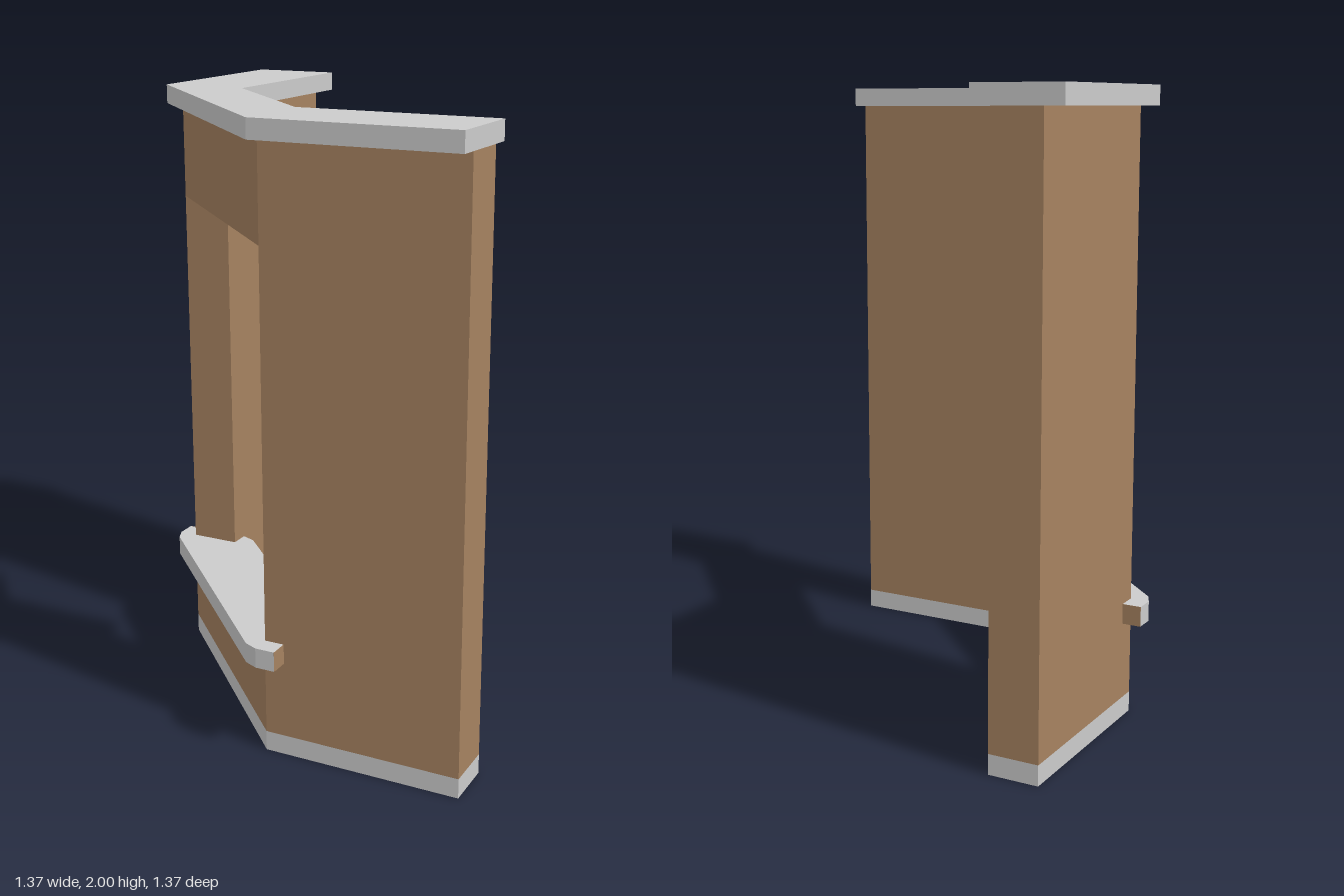
import * as THREE from 'three';

const grey = new THREE.MeshStandardMaterial({ color: 0xcccccc });
const wood = new THREE.MeshStandardMaterial({ color: 0xa68260 });

// The plan is symmetric about the diagonal: (x, z) <-> (-z, -x)
const mirror = (pts) => pts.map(([x, z]) => [-z, -x]).reverse();

// Upright prism over a floor outline of [x, z] points
function slab(name, outline, y0, y1, sides, caps = sides) {
  const shape = new THREE.Shape(outline.map(([x, z]) => new THREE.Vector2(x, z)));
  const geo = new THREE.ExtrudeGeometry(shape, { depth: y1 - y0, bevelEnabled: false });
  geo.rotateX(Math.PI / 2).translate(0, y1, 0);
  const mesh = new THREE.Mesh(geo, sides === caps ? sides : [caps, sides]);
  mesh.name = name;
  return mesh;
}

export function createModel() {
  const group = new THREE.Group();
  group.name = 'angledWallWithOpening';

  const K = 0.03;                  // where the straight walls meet the diagonal
  const END = 0.687;               // free end of each wall
  const OUT = 0.625, IN = 0.46;    // outer and inner wall faces
  const BASE = 0.065, SILL = 0.315, SILL_TOP = 0.38;
  const HEAD = 1.627, CAP = 1.938;

  // Bent strip running along both walls and the diagonal
  const strip = (outer, inner) => {
    const half = [[K, outer], [END, outer], [END, inner], [K, inner]];
    return [...half, ...mirror(half)];
  };
  const wall = [[K, OUT], [END, OUT], [END, IN], [K, IN]];
  const diagonal = [[K, OUT], [K, IN], [-IN, -K], [-OUT, -K]];

  // Skirting and top cap
  group.add(slab('skirting', strip(OUT, IN), 0, BASE, grey, wood));
  group.add(slab('topCap', strip(END, 0.395), CAP, 2, grey));

  // Straight walls
  group.add(slab('leftWall', wall, BASE, CAP, wood));
  group.add(slab('rightWall', mirror(wall), BASE, CAP, wood));

  // Diagonal panels below and above the opening
  group.add(slab('lowerPanel', diagonal, BASE, SILL, wood));
  group.add(slab('headerPanel', diagonal, HEAD, CAP, wood));

  // Counter shelf, wrapping a little way round the walls at each end
  const shelfEnd = [
    [-0.015, 0.667], [K, END], [0.095, END],
    [0.095, IN], [0.077, 0.412],
  ];
  group.add(slab('counterShelf', [...shelfEnd, ...mirror(shelfEnd)], SILL, SILL_TOP, grey));

  // Wooden faces on the outer shelf ends
  const tip = [[0.095, END], [0.096, END], [0.096, OUT], [0.095, OUT]];
  group.add(slab('leftShelfEnd', tip, SILL, SILL_TOP, wood));
  group.add(slab('rightShelfEnd', mirror(tip), SILL, SILL_TOP, wood));

  return group;
}
